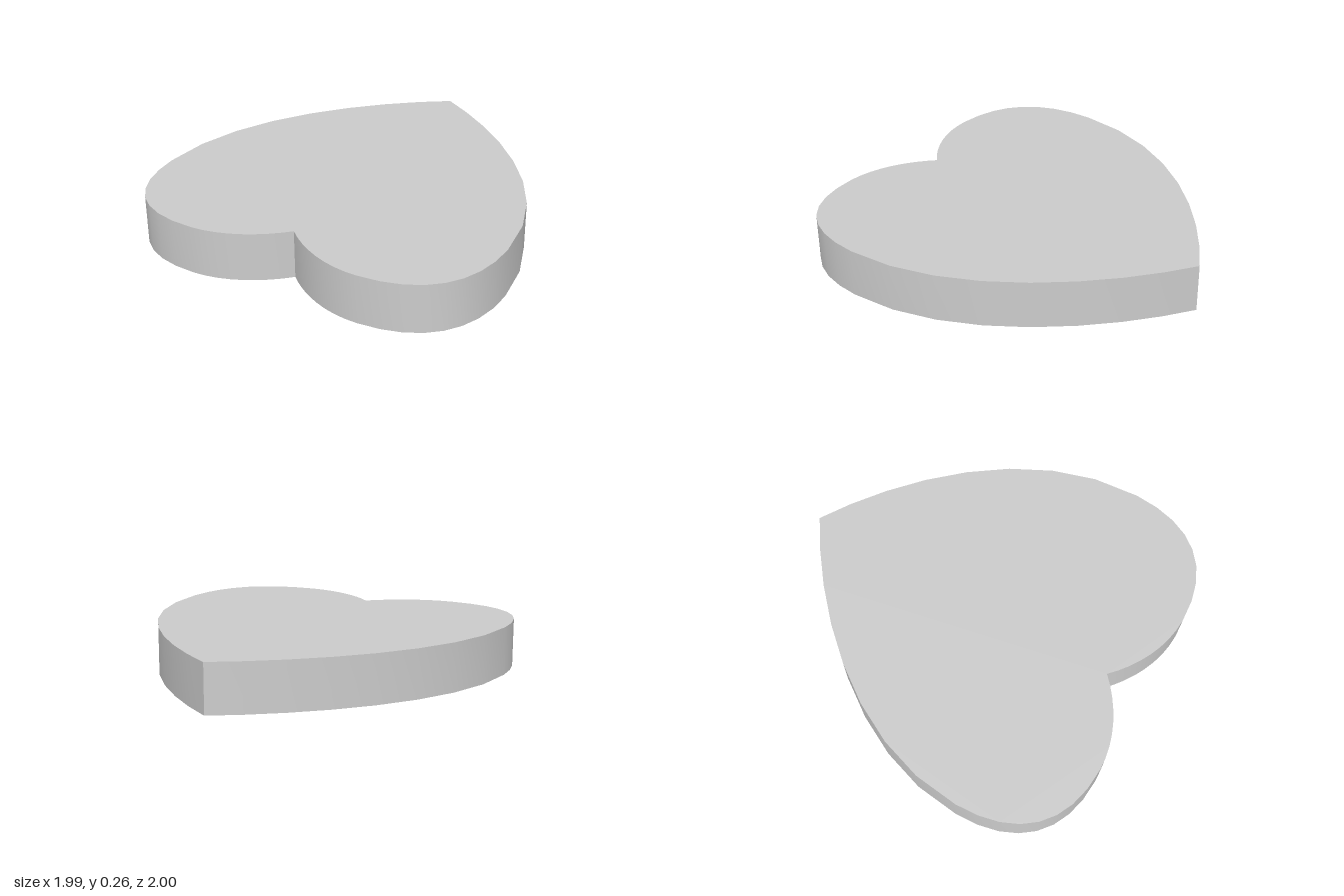
import * as THREE from 'three';
import { toCreasedNormals } from 'three/addons/utils/BufferGeometryUtils.js';

const HEIGHT = 0.265;

// Half outline as cubic curves [handle1, handle2, end], in (x, z), from the tip at the back to the front notch
const HALF = [
  [0.4, -0.76, 0.995, -0.23, 0.995, 0.45],
  [0.995, 0.81, 0.81, 1, 0.47, 1],
  [0.29, 1, 0.12, 0.91, 0, 0.79],
];

function heartShape() {
  const shape = new THREE.Shape();
  shape.moveTo(0, 1);
  for (const [a, b, c, d, e, f] of HALF) shape.bezierCurveTo(a, -b, c, -d, e, -f);
  // Mirrored half, walked back from the notch to the tip
  for (let i = HALF.length - 1; i >= 0; i--) {
    const [a, b, c, d] = HALF[i];
    const [x, z] = i > 0 ? HALF[i - 1].slice(4) : [0, -1];
    shape.bezierCurveTo(-c, -d, -a, -b, -x, -z);
  }
  return shape;
}

export function createModel() {
  const group = new THREE.Group();
  group.name = 'heart';

  // Flat slab lying on the ground, smooth rim with sharp edges, tip and notch
  const slab = new THREE.ExtrudeGeometry(heartShape(), {
    depth: HEIGHT, bevelEnabled: false, curveSegments: 8,
  });
  slab.rotateX(-Math.PI / 2);

  const mesh = new THREE.Mesh(
    toCreasedNormals(slab, Math.PI / 6),
    new THREE.MeshStandardMaterial({ color: 0xcccccc }),
  );
  mesh.name = 'heartSlab';
  group.add(mesh);
  return group;
}
